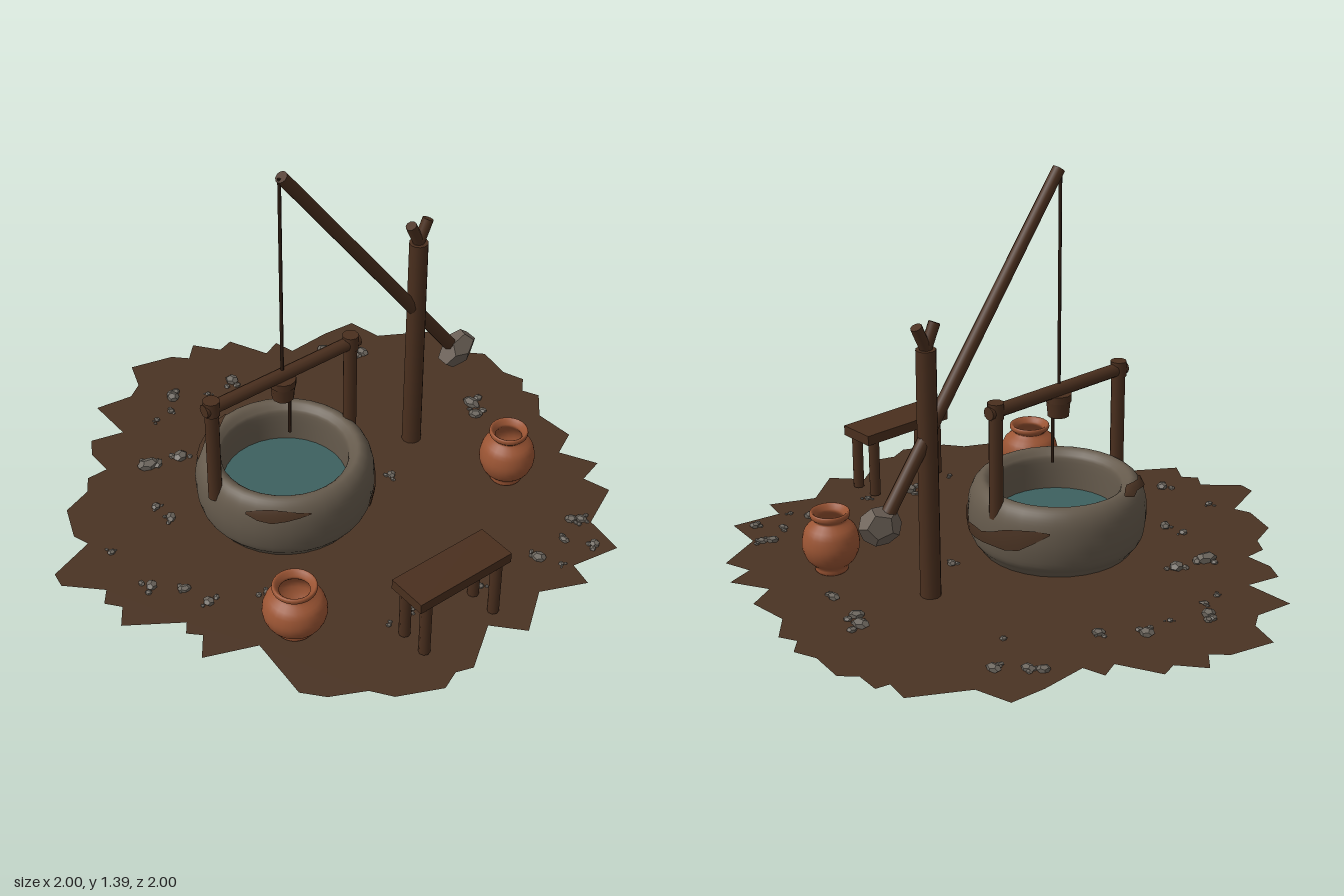
import * as THREE from 'three';

const paint = (name, color, side = THREE.FrontSide) => {
  const m = new THREE.MeshStandardMaterial({ color, side });
  m.name = name;
  return m;
};
const V = (x, y, z) => new THREE.Vector3(x, y, z);

// small seeded generator for the scattered stones
function seeded(seed) {
  return () => {
    seed = (seed * 16807) % 2147483647;
    return seed / 2147483647;
  };
}

export function createModel() {
  const earth = paint('earth', 0x4a3323, THREE.DoubleSide);
  const wood = paint('wood', 0x4a2f1e);
  const rope = paint('rope', 0x2a1a10);
  const clay = paint('wellClay', 0x655a4c);
  const water = paint('water', 0x3d605f);
  const terracotta = paint('terracotta', 0x9a5433, THREE.DoubleSide);
  const stone = paint('stone', 0x6a645c);
  const weightStone = paint('weightStone', 0x6b6056);

  const root = new THREE.Group();
  root.name = 'sweepWell';
  const add = (name, geo, mat, parent = root) => {
    const mesh = new THREE.Mesh(geo, mat);
    mesh.name = name;
    parent.add(mesh);
    return mesh;
  };
  const group = (name, x = 0, y = 0, z = 0) => {
    const g = new THREE.Group();
    g.name = name;
    g.position.set(x, y, z);
    root.add(g);
    return g;
  };
  // round bar from a to b
  const bar = (name, a, b, r0, r1, mat, parent = root, sides = 10) => {
    const mesh = add(name, new THREE.CylinderGeometry(r1, r0, a.distanceTo(b), sides), mat, parent);
    mesh.position.copy(a).add(b).multiplyScalar(0.5);
    mesh.quaternion.setFromUnitVectors(V(0, 1, 0), b.clone().sub(a).normalize());
    return mesh;
  };

  // ragged ground patch, corners as x, z
  const rim = [
    -.16, -1, 0, -.96, .05, -.91, .11, -.97, .18, -.88, .24, -.9, .31, -.75, .38, -.78, .4, -.7,
    .57, -.71, .7, -.7, .73, -.57, .92, -.46, .9, -.37, .95, -.36, .94, -.27, .99, -.22, .97, -.09,
    1, -.01, .95, .04, .98, .1, .9, .19, .91, .34, .81, .39, .88, .52, .78, .55, .81, .65, .64, .73,
    .62, .88, .44, .85, .42, .94, .26, .87, .11, .98, .02, .88, -.14, .99, -.2, .97, -.27, 1, -.42, .93,
    -.47, .86, -.59, .8, -.65, .73, -.63, .49, -.81, .42, -.75, .34, -.79, .3, -.76, .26, -.94, .14,
    -.89, .07, -.93, .02, -.89, -.03, -1, -.14, -.99, -.2, -.82, -.26, -.84, -.32, -.79, -.45,
    -.68, -.49, -.64, -.55, -.56, -.55, -.56, -.65, -.52, -.72, -.4, -.69, -.4, -.87, -.26, -.85, -.2, -.89,
  ];
  const outline = [];
  for (let i = 0; i < rim.length; i += 2) outline.push(new THREE.Vector2(rim[i], -rim[i + 1]));
  add('ground', new THREE.ShapeGeometry(new THREE.Shape(outline)).rotateX(-Math.PI / 2), earth).position.y = 0.008;

  // well ring: rounded wall, outside to inside
  const well = group('well', -0.148, 0, -0.012);
  const profile = new THREE.SplineCurve([
    [.285, .03], [.305, .06], [.316, .13], [.311, .2], [.292, .245], [.262, .266], [.235, .25], [.222, .22], [.22, .1],
  ].map(p => new THREE.Vector2(...p)));
  add('wellWall', new THREE.LatheGeometry(
    [new THREE.Vector2(.27, .008), ...profile.getPoints(32)], 32), clay, well);
  add('waterSurface', new THREE.CircleGeometry(0.222, 32).rotateX(-Math.PI / 2), water, well).position.y = 0.12;

  // mud stains laid on the wall; columns are [angle in degrees, lower, upper along the profile]
  const stain = columns => {
    const rows = 5, pos = [], index = [];
    columns.forEach(([deg, lo, hi], c) => {
      const a = THREE.MathUtils.degToRad(deg);
      for (let k = 0; k <= rows; k++) {
        const t = lo + (hi - lo) * k / rows;
        const p = profile.getPoint(t), d = profile.getTangent(t);
        const r = p.x + d.y * 0.005;
        pos.push(r * Math.sin(a), p.y - d.x * 0.005, r * Math.cos(a));
        if (c && k) {
          const i = c * (rows + 1) + k, j = i - rows - 1;
          index.push(j - 1, i - 1, i, j - 1, i, j);
        }
      }
    });
    const geo = new THREE.BufferGeometry();
    geo.setAttribute('position', new THREE.Float32BufferAttribute(pos, 3));
    geo.setIndex(index);
    geo.computeVertexNormals();
    add('mudStain', geo, earth, well);
  };
  stain([[30, .19, .2], [37, .15, .26], [45, .12, .28], [53, .17, .25], [62, .18, .25], [72, .19, .27],
    [82, .2, .27], [92, .21, .3], [102, .21, .34], [112, .23, .36], [122, .29, .37], [132, .35, .36]]);
  stain([[-62, .4, .42], [-54, .37, .46], [-45, .36, .48], [-36, .38, .47], [-28, .4, .45], [-20, .42, .43]]);
  stain([[-168, .55, .57], [-160, .5, .63], [-152, .52, .66], [-145, .5, .6], [-137, .46, .56],
    [-129, .43, .55], [-121, .46, .48]]);

  // frame over the well
  const frame = group('wellFrame', 0, 0, -0.012);
  for (const x of [-0.445, 0.14]) {
    bar('framePost', V(x, 0.2, 0), V(x, 0.6, 0), 0.025, 0.025, wood, frame);
    bar('framePostCap', V(x, 0.565, 0), V(x, 0.622, 0), 0.029, 0.029, wood, frame);
  }
  bar('frameCrossbar', V(-0.475, 0.59, 0), V(0.172, 0.59, 0), 0.024, 0.024, wood, frame);

  // forked post, sweep pole and counterweight
  const sweep = group('sweep', 0, 0, -0.01);
  bar('forkedPost', V(0.435, 0.008, 0), V(0.435, 0.885, 0), 0.036, 0.034, wood, sweep, 12);
  for (const s of [-1, 1])
    bar('forkBranch', V(0.435 - s * 0.012, 0.86, 0), V(0.435 + s * 0.038, 0.968, 0), 0.02, 0.02, wood, sweep);
  bar('sweepPole', V(0.62, 0.345, 0), V(-0.147, 1.373, 0), 0.025, 0.022, wood, sweep);
  const weight = add('counterweight', new THREE.DodecahedronGeometry(1), weightStone, sweep);
  weight.scale.set(0.088, 0.066, 0.056);
  weight.position.set(0.64, 0.33, 0);
  weight.rotation.set(0.3, 0.2, 0.15);

  // rope and bucket
  bar('rope', V(-0.155, 0.57, 0), V(-0.155, 1.37, 0), 0.006, 0.006, rope, sweep, 6);
  bar('bucket', V(-0.153, 0.495, 0), V(-0.153, 0.56, 0), 0.038, 0.044, wood, sweep, 12);
  bar('bucketHoop', V(-0.153, 0.55, 0), V(-0.153, 0.576, 0), 0.046, 0.046, wood, sweep, 12);
  bar('hangingRope', V(-0.126, 0.325, 0), V(-0.126, 0.5, 0), 0.006, 0.006, rope, sweep, 6);

  // clay water pots
  const potProfile = [
    [0, .008], [.055, .008], [.06, .03], [.085, .055], [.1, .09], [.102, .125], [.09, .165], [.064, .19], [.058, .2],
    [.07, .212], [.071, .226], [.064, .23], [.052, .215], [.05, .2], [.075, .165], [.085, .12], [.055, .06], [0, .05],
  ];
  const pot = (name, x, z, sr, sy) => {
    const pts = new THREE.SplineCurve(potProfile.map(p => new THREE.Vector2(p[0] * sr, p[1] * sy))).getPoints(51);
    pts.forEach(p => { p.x = Math.max(p.x, 0); });
    add(name, new THREE.LatheGeometry(pts, 24), terracotta, group(name + 'Group', x, 0, z));
  };
  pot('leftPot', 0.565, 0.365, 0.97, 1);
  pot('rightPot', -0.492, 0.5, 1.06, 0.92);

  // bench
  const bench = group('bench', -0.073, 0, 0.79);
  add('benchSeat', new THREE.BoxGeometry(0.385, 0.038, 0.145), wood, bench).position.y = 0.246;
  for (const x of [-0.15, 0.15]) for (const z of [-0.05, 0.05])
    bar('benchLeg', V(x, 0.012, z), V(x, 0.235, z), 0.02, 0.02, wood, bench, 8);

  // scattered stones: x, z, size
  const spots = [
    [-.14, -.74, .03], [-.26, -.67, .014], [-.19, -.68, .014], [-.02, -.68, .012], [.1, -.69, .028],
    [.21, -.58, .02], [-.43, -.47, .036], [-.31, -.44, .028], [-.53, -.27, .018], [-.78, -.17, .015],
    [-.52, -.19, .022], [.5, -.63, .025], [.53, -.59, .022], [.61, -.52, .026], [.46, -.4, .012],
    [-.76, .05, .025], [-.68, .13, .02], [-.65, .23, .024], [-.47, .32, .022], [.74, -.02, .03],
    [.71, .04, .024], [.69, .19, .022], [.24, .11, .02], [-.04, .68, .03], [-.13, .67, .014],
    [-.24, .68, .012], [.12, .73, .014], [.37, .75, .024], [.5, .74, .018], [.57, .82, .022],
    [.59, .68, .024], [.62, .7, .02], [.41, .82, .012],
  ];
  const rnd = seeded(17);
  const stones = group('scatteredStones');
  const rock = new THREE.DodecahedronGeometry(1);
  const place = (x, z, r) => {
    const m = add('stone', rock, stone, stones);
    m.scale.set(r * (0.8 + rnd() * 0.4), r * 0.55, r * (0.7 + rnd() * 0.3));
    m.position.set(x, 0.008 + r * 0.3, z);
    m.rotation.y = rnd() * 6.28;
  };
  for (const [x, z, r] of spots) {
    place(x, z, r);
    for (let i = 0; i < 2; i++) {
      const a = rnd() * 6.28, d = r * (0.9 + rnd() * 0.7);
      place(x + d * Math.cos(a), z + d * Math.sin(a), r * (0.35 + rnd() * 0.3));
    }
  }
  return root;
}
